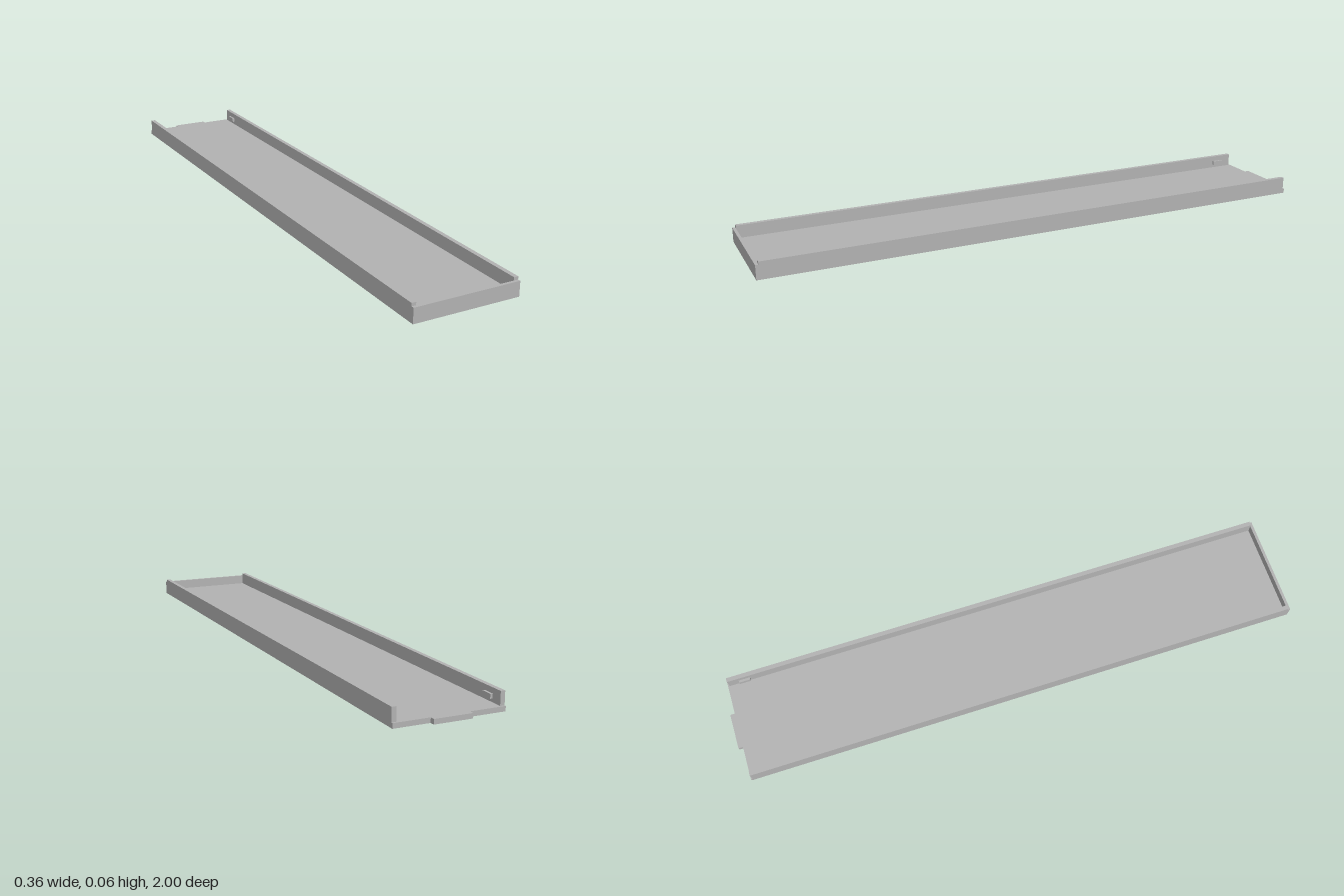
import * as THREE from 'three';

export function createModel() {
  const model = new THREE.Group();
  model.name = 'tray';
  const grey = new THREE.MeshStandardMaterial({ color: 0xb2b2b2 });
  grey.name = 'grey';

  // Box given by its lower and upper bounds on each axis
  const addBox = (name, [x0, x1], [y0, y1], [z0, z1]) => {
    const mesh = new THREE.Mesh(new THREE.BoxGeometry(x1 - x0, y1 - y0, z1 - z0), grey);
    mesh.position.set((x0 + x1) / 2, (y0 + y1) / 2, (z0 + z1) / 2);
    mesh.name = name;
    model.add(mesh);
  };

  const half = 0.182, inner = 0.167, floorTop = 0.016;

  // Floor plate with a tab at the open back end
  const outline = new THREE.Shape([
    [-half, -0.99], [half, -0.99], [half, 0.984], [0.063, 0.984],
    [0.063, 1], [-0.063, 1], [-0.063, 0.984], [-half, 0.984],
  ].map(([x, y]) => new THREE.Vector2(x, y)));
  const floor = new THREE.Mesh(
    new THREE.ExtrudeGeometry(outline, { depth: floorTop, bevelEnabled: false }), grey);
  floor.rotation.x = -Math.PI / 2;
  floor.name = 'floor';
  model.add(floor);

  // Lower front wall
  addBox('frontWall', [-half, half], [0, 0.05], [0.99, 1]);

  // Side walls, each with a small catch near the back
  for (const [side, s] of [['left', 1], ['right', -1]]) {
    const span = (a, b) => [Math.min(s * a, s * b), Math.max(s * a, s * b)];
    addBox(side + 'Wall', span(inner, half), [floorTop, 0.06], [-0.978, 0.99]);
    addBox(side + 'Catch', span(inner - 0.008, inner), [0.027, 0.042], [-0.94, -0.9]);
  }
  return model;
}
